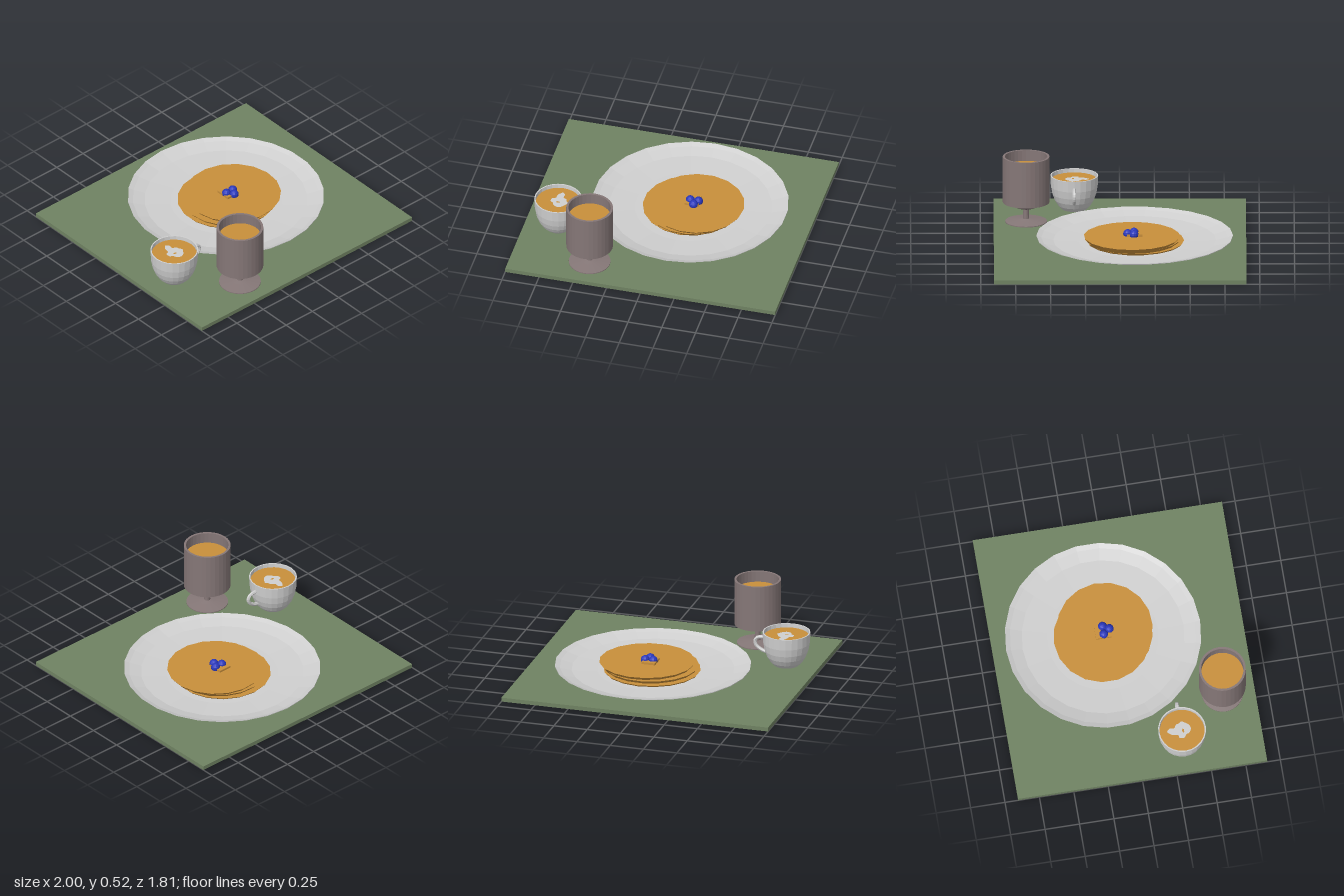
import * as THREE from 'three';

const mat = (name, color, double = false) => {
  const m = new THREE.MeshStandardMaterial({ color, flatShading: true });
  m.name = name;
  if (double) m.side = THREE.DoubleSide;
  return m;
};

export function createModel() {
  const green = mat('sage green', 0x6f8262);
  const white = mat('porcelain white', 0xcfcfcf, true);
  const golden = mat('golden brown', 0xc88f3b);
  const mauve = mat('smoky glass', 0x857777);
  const blue = mat('berry blue', 0x2a38bc);

  const model = new THREE.Group();
  model.name = 'breakfastSetting';

  const group = (name, x, z) => {
    const g = new THREE.Group();
    g.name = name;
    g.position.set(x, 0, z);
    model.add(g);
    return g;
  };
  const add = (parent, name, geometry, material, x = 0, y = 0, z = 0) => {
    const m = new THREE.Mesh(geometry, material);
    m.name = name;
    m.position.set(x, y, z);
    parent.add(m);
    return m;
  };
  // Profile runs from the bottom axis, up the outside, and back down the inside
  const lathe = (points, sides) =>
    new THREE.LatheGeometry(points.map(([r, y]) => new THREE.Vector2(r, y)), sides);

  // Placemat
  add(model, 'placemat', new THREE.BoxGeometry(2, 0.03, 1.81), green, 0, 0.015, 0);

  // Plate with a sloped rim
  const plate = group('plate', 0.11, -0.105);
  add(plate, 'plateDish', lathe([
    [0, 0.032], [0.21, 0.032], [0.36, 0.042], [0.56, 0.054], [0.705, 0.09],
    [0.705, 0.095], [0.62, 0.062], [0.4, 0.05], [0, 0.048],
  ], 26), white);

  // Pancakes, slightly narrower underneath and loosely stacked
  const food = group('pancakeStack', 0, 0);
  [[0.115, -0.11, 0.35], [0.13, -0.09, 0.345], [0.16, -0.085, 0.345]].forEach(([x, z, r], i) => {
    const p = add(food, 'pancake' + (i + 1),
      new THREE.CylinderGeometry(r, r * 0.95, 0.021, 18), golden, x, 0.05 + i * 0.0225, z);
    p.rotation.y = i * 0.12;
  });

  // Butter pat and berries
  add(food, 'butter', new THREE.BoxGeometry(0.1, 0.016, 0.11), golden, 0.13, 0.113, -0.105);
  [[0.11, -0.1], [0.17, -0.1], [0.145, -0.055]].forEach(([x, z], i) =>
    add(food, 'berry' + (i + 1), new THREE.SphereGeometry(0.033, 12, 8), blue, x, 0.118, z));

  // Coffee cup
  const cup = group('cup', -0.758, 0.326);
  add(cup, 'cupBody', lathe([
    [0, 0.031], [0.09, 0.031], [0.118, 0.06], [0.142, 0.1], [0.158, 0.145], [0.168, 0.2],
    [0.172, 0.28], [0.163, 0.28], [0.159, 0.2], [0.135, 0.11], [0, 0.05],
  ], 24), white);
  add(cup, 'coffee', new THREE.CylinderGeometry(0.162, 0.16, 0.01, 24), golden, 0, 0.246, 0);

  // Handle loop on the model's left side of the cup
  const loop = new THREE.CatmullRomCurve3([
    [0.15, 0.11], [0.185, 0.122], [0.225, 0.15], [0.236, 0.185], [0.22, 0.212], [0.16, 0.222],
  ].map(([x, y]) => new THREE.Vector3(x, y, 0)));
  add(cup, 'cupHandle', new THREE.TubeGeometry(loop, 14, 0.013, 6), white);

  // Milk foam leaf with a small gap
  const foam = new THREE.Shape();
  foam.moveTo(0, 0.11);
  foam.splineThru([
    [0.022, 0.085], [0.018, 0.055], [0.045, 0.035], [0.05, 0.015], [0.064, -0.005], [0.05, -0.03],
    [0.03, -0.055], [0, -0.066], [-0.03, -0.05], [-0.04, -0.025], [-0.062, -0.01], [-0.06, 0.025],
    [-0.035, 0.035], [-0.03, 0.07], [-0.018, 0.09], [0, 0.11],
  ].map(([x, y]) => new THREE.Vector2(x, y)));
  const gap = new THREE.Path();
  gap.absellipse(-0.008, -0.008, 0.016, 0.008, 0, Math.PI * 2, true);
  foam.holes.push(gap);
  const foamMesh = add(cup, 'milkFoam', new THREE.ShapeGeometry(foam, 3), white, 0.008, 0.254, 0);
  foamMesh.rotation.x = -Math.PI / 2;

  // Goblet of juice
  const goblet = group('goblet', -0.435, 0.672);
  add(goblet, 'gobletGlass', lathe([
    [0, 0.032], [0.15, 0.032], [0.15, 0.038], [0.06, 0.05], [0.022, 0.056], [0.02, 0.128],
    [0.06, 0.138], [0.11, 0.16], [0.168, 0.18], [0.168, 0.52], [0.152, 0.52], [0.152, 0.2], [0, 0.16],
  ], 32), mauve);
  add(goblet, 'juice', new THREE.CylinderGeometry(0.153, 0.153, 0.02, 32), golden, 0, 0.43, 0);

  return model;
}
